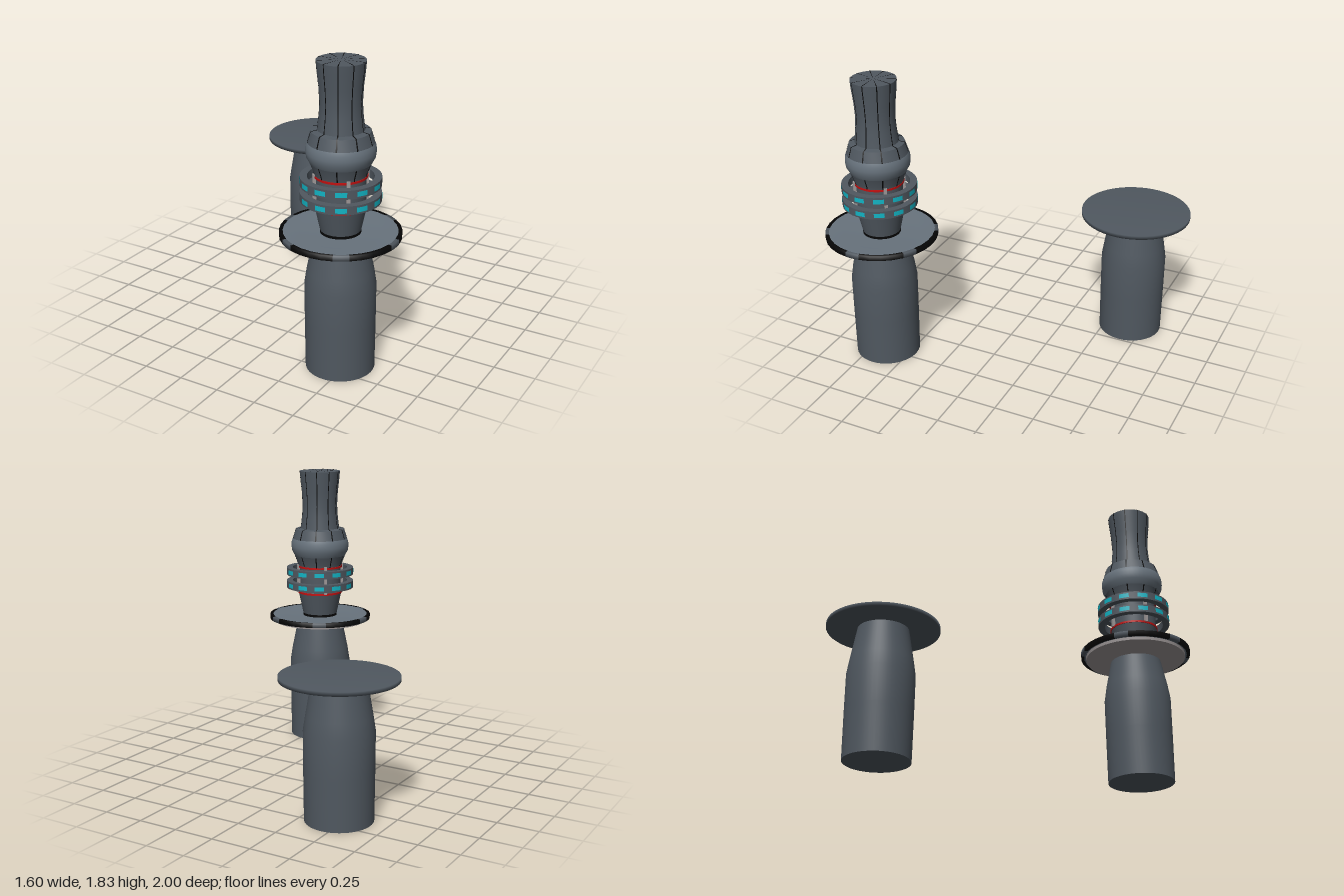
import * as THREE from 'three';
import { toCreasedNormals } from 'three/addons/utils/BufferGeometryUtils.js';

const mat = (color) => new THREE.MeshStandardMaterial({ color, side: THREE.DoubleSide });
const steel = mat(0x505860), lightSteel = mat(0x68737d), black = mat(0x060606);
const red = mat(0xc01010), cyan = mat(0x12b4c4), pale = mat(0xa09a9a);

const vecs = (pts) => pts.map(([r, y]) => new THREE.Vector2(r, y));

// Turned part from [radius, height] pairs, bottom to top; crease 0 keeps it fully smooth
function turned(parent, name, pts, material, crease = 0.5, segments = 48) {
  let geo = new THREE.LatheGeometry(vecs(pts), segments);
  if (crease) geo = toCreasedNormals(geo, crease);
  const mesh = new THREE.Mesh(geo, material);
  mesh.name = name;
  parent.add(mesh);
  return mesh;
}

// Narrow slice of a turned part, centred on an angle measured from +z
function slice(parent, name, pts, material, angle, width) {
  const mesh = new THREE.Mesh(new THREE.LatheGeometry(vecs(pts), 4, angle - width / 2, width), material);
  mesh.name = name;
  parent.add(mesh);
}

// Thin dark seams laid just outside a profile
function seams(parent, name, pts) {
  const raised = pts.map(([r, y]) => [r + 0.0015, y]);
  for (let i = 0; i < 10; i++) {
    slice(parent, name, raised, black, THREE.MathUtils.degToRad(22 + i * 36), 0.045);
  }
}

function createPedestal(top) {
  const g = new THREE.Group();
  g.name = 'pedestal';
  turned(g, 'pedestalBody', [[0, 0], [0.2, 0], [0.203, 0.3], [0.204, 0.53], [0.19, 0.62], [0.155, top], [0, top]], steel, 0.8);
  return g;
}

function createPlainPillar() {
  const g = createPedestal(0.826);
  g.name = 'plainPillar';
  turned(g, 'flatPlate', [[0, 0.824], [0.342, 0.824], [0.342, 0.848], [0, 0.848]], steel, 0);
  return g;
}

function createTower() {
  const g = new THREE.Group();
  g.name = 'tower';
  g.add(createPedestal(0.79));

  // Plate with pale underside, light top and a black segmented rim
  turned(g, 'plateUnderside', [[0.14, 0.783], [0.16, 0.783], [0.31, 0.808], [0.312, 0.826]], pale);
  turned(g, 'plate', [[0.1, 0.826], [0.338, 0.826], [0.338, 0.852], [0.312, 0.853], [0.23, 0.846], [0, 0.846]], lightSteel, 0.4);
  for (let i = 0; i < 12; i++) {
    const rim = [[0.322, 0.824], [0.343, 0.824], [0.343, 0.854], [0.322, 0.854]];
    slice(g, 'plateRimSegment', rim, i % 2 ? steel : black, i * Math.PI / 6, i % 2 ? 0.26 : 0.79);
  }

  // Neck and tapered lower body
  turned(g, 'neck', [[0.115, 0.84], [0.115, 0.868]], black);
  turned(g, 'lowerBody', [[0, 0.862], [0.115, 0.862], [0.146, 1.005], [0.14, 1.015], [0.14, 1.19]], steel);
  for (const y of [1.008, 1.185]) {
    turned(g, 'redBand', [[0.138, y - 0.006], [0.15, y - 0.006], [0.15, y + 0.006], [0.138, y + 0.006]], red);
  }

  // Pale upright struts between the bands
  for (let i = 0; i < 4; i++) {
    const a = Math.PI / 4 + i * Math.PI / 2;
    const strut = new THREE.Mesh(new THREE.BoxGeometry(0.018, 0.19, 0.018), pale);
    strut.name = 'strut';
    strut.position.set(Math.sin(a) * 0.15, 1.105, Math.cos(a) * 0.15);
    strut.rotation.y = a;
    g.add(strut);
  }

  // Two hollow rings with glowing windows
  for (const y of [1.063, 1.153]) {
    const h = 0.025;
    turned(g, 'ring', [[0.185, y - h], [0.226, y - h], [0.226, y + h], [0.185, y + h], [0.185, y - h]], steel);
    for (let i = 0; i < 12; i++) {
      slice(g, 'ringWindow', [[0.2275, y - 0.014], [0.2275, y + 0.014]], cyan, i * Math.PI / 6, 0.28);
    }
  }

  // Bulge with panelled collars below and above it
  const lower = [[0.148, 1.192], [0.152, 1.21], [0.172, 1.262]];
  const upper = [[0.184, 1.376], [0.164, 1.44], [0.13, 1.447]];
  turned(g, 'lowerCollar', lower, steel);
  turned(g, 'bulge', [[0.172, 1.262], [0.19, 1.295], [0.194, 1.325], [0.192, 1.355], [0.184, 1.376]], lightSteel, 0);
  turned(g, 'upperCollar', upper, steel);

  // Waisted column with a closed top
  const column = [[0.131, 1.44], [0.12, 1.53], [0.116, 1.6], [0.121, 1.69], [0.131, 1.78], [0.135, 1.83]];
  turned(g, 'column', [...column, [0, 1.83]], steel, 0.6);
  for (const profile of [lower, upper, column]) seams(g, 'seam', profile);
  for (let i = 0; i < 10; i++) {
    slice(g, 'topSeam', [[0.135, 1.8315], [0.01, 1.8315]], black, THREE.MathUtils.degToRad(22 + i * 36), 0.045);
  }
  return g;
}

export function createModel() {
  const model = new THREE.Group();
  model.name = 'pillars';
  const plain = createPlainPillar();
  plain.position.set(-0.458, 0, -0.658);
  const tower = createTower();
  tower.position.set(0.456, 0, 0.657);
  model.add(plain, tower);
  return model;
}
